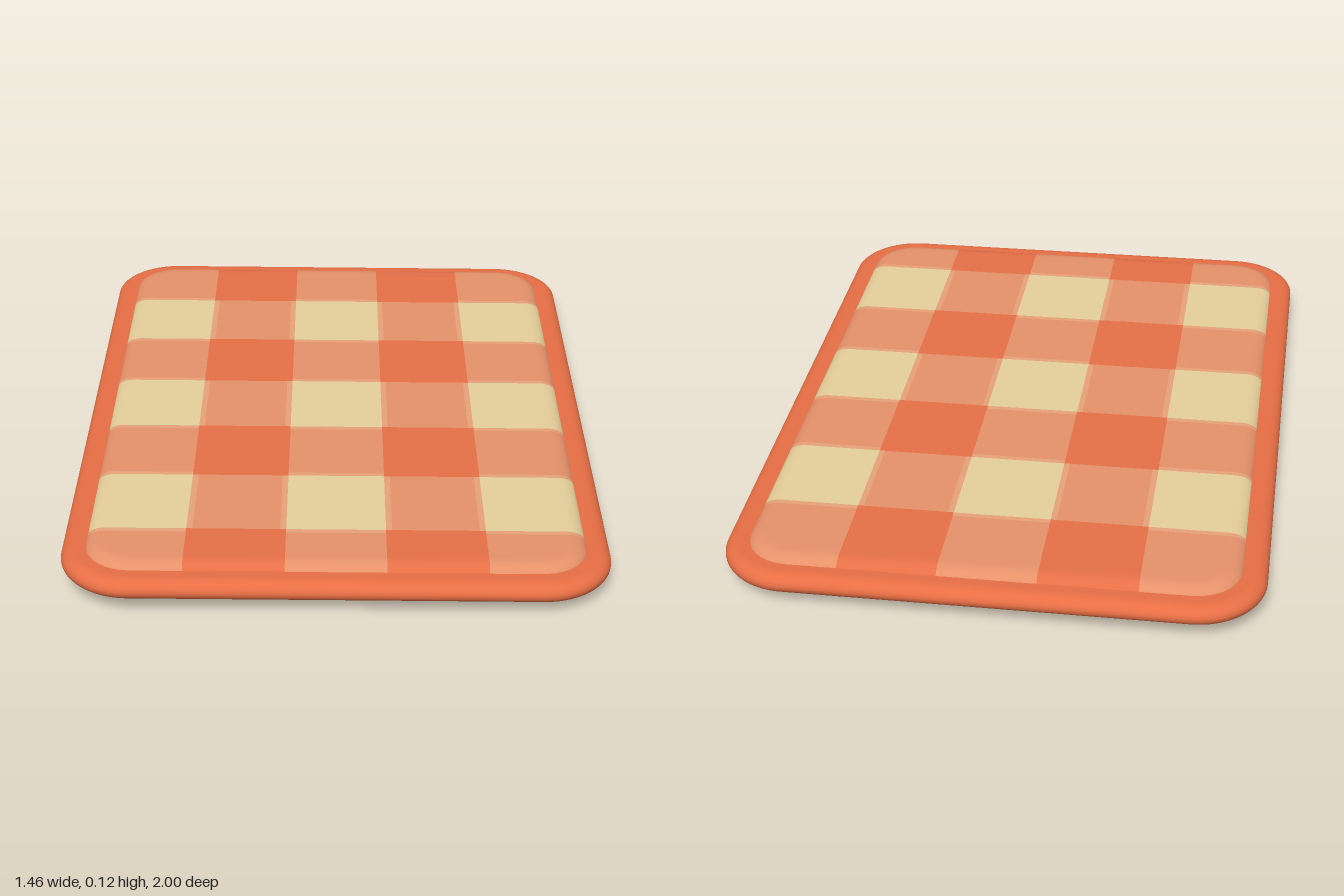
import * as THREE from 'three';
import { mergeVertices } from 'three/addons/utils/BufferGeometryUtils.js';

const paint = (name, color) => {
  const m = new THREE.MeshStandardMaterial({ color });
  m.name = name;
  return m;
};

// half sizes of the cushioned panels, corner radius, edge rounding
const HX = 0.668, HZ = 0.938, R = 0.13, EDGE = 0.05, DROP = 0.03;
// gingham check layout
const X0 = -0.668, CW = 0.267, Z0 = -0.945, CD = 0.283, BAND = 0.016;

// grid lines: dense at the rounded rim, plus both sides of each colour change
function gridLines(half, start, step) {
  const lines = [];
  for (const d of [0, 0.002, 0.007, 0.015, 0.025, 0.037, 0.05, 0.075, 0.1, R]) lines.push(half - d, d - half);
  for (let p = start + step; p < half - R; p += step) {
    for (const o of [-BAND, 0, BAND]) if (Math.abs(p + o) < half - R) lines.push(p + o);
  }
  return lines.sort((a, b) => a - b);
}

// 0 cream, 1 tan edge beside cream, 2 mixed, 3 full stripe
function checkColour(x, z) {
  const u = (x - X0) / CW, v = (z - Z0) / CD;
  const stripeX = Math.floor(u) % 2 === 1, stripeZ = Math.floor(v) % 2 === 0;
  if (stripeX && stripeZ) return 3;
  if (!stripeX && !stripeZ) return 0;
  const t = stripeX ? u : v, size = stripeX ? CW : CD;
  const near = Math.abs(t - Math.round(t)) * size < BAND;
  const outer = !stripeX && (t < 0.5 || t > 6.5); // border with no cream beyond
  return near && !outer ? 1 : 2;
}

// rounded-corner panel with softly falling edges; dir 1 faces up, -1 down
function panel(y, dir, colourAt) {
  const xs = gridLines(HX, X0, CW), zs = gridLines(HZ, Z0, CD);
  const pos = [], buckets = [[], [], [], []];
  for (const z of zs) for (const x of xs) {
    const u = Math.max(0, Math.abs(x) - HX + R), v = Math.max(0, Math.abs(z) - HZ + R);
    const reach = Math.max(u, v);
    const k = reach > 0 ? reach / Math.hypot(u, v) : 1; // square corner to round
    const px = u > 0 ? Math.sign(x) * (HX - R + u * k) : x;
    const pz = v > 0 ? Math.sign(z) * (HZ - R + v * k) : z;
    const e = Math.max(0, 1 - (R - reach) / EDGE);
    const fall = DROP * (1 - Math.sqrt(Math.max(0, 1 - e * e)));
    pos.push(px, y - dir * fall, pz);
  }
  const n = xs.length;
  for (let j = 0; j < zs.length - 1; j++) for (let i = 0; i < n - 1; i++) {
    const a = j * n + i, b = a + 1, c = a + n, d = c + 1;
    const list = buckets[colourAt((xs[i] + xs[i + 1]) / 2, (zs[j] + zs[j + 1]) / 2)];
    if (dir > 0) list.push(a, c, b, b, c, d);
    else list.push(a, b, c, b, d, c);
  }
  const geo = new THREE.BufferGeometry();
  geo.setAttribute('position', new THREE.Float32BufferAttribute(pos, 3));
  geo.setIndex(buckets.flat());
  let start = 0;
  buckets.forEach((list, i) => {
    if (list.length) geo.addGroup(start, list.length, i);
    start += list.length;
  });
  geo.computeVertexNormals();
  return geo;
}

function roundedRect(hx, hz, r) {
  const s = new THREE.Shape();
  s.absarc(hx - r, hz - r, r, 0, Math.PI / 2);
  s.absarc(r - hx, hz - r, r, Math.PI / 2, Math.PI);
  s.absarc(r - hx, r - hz, r, Math.PI, Math.PI * 1.5);
  s.absarc(hx - r, r - hz, r, Math.PI * 1.5, Math.PI * 2);
  s.closePath();
  return s;
}

// border piping: slab with fully rounded edges
function borderGeometry() {
  const side = 0.04, half = 0.029;
  let geo = new THREE.ExtrudeGeometry(roundedRect(0.73 - side, 1 - side, 0.15), {
    depth: 0.002, bevelThickness: half - 0.001, bevelSize: side, bevelSegments: 8, curveSegments: 14,
  });
  geo.translate(0, 0, -0.001);
  geo.rotateX(-Math.PI / 2);
  geo.deleteAttribute('uv');
  geo.deleteAttribute('normal');
  geo.clearGroups();
  geo = mergeVertices(geo, 1e-5);
  geo.computeVertexNormals();
  return geo;
}

export function createModel() {
  const cream = paint('cream', 0xe6cf9b);
  const tan = paint('tan', 0xe7a379);
  const mixed = paint('soft terracotta', 0xe6926a);
  const stripe = paint('terracotta', 0xe67047);
  const piping = paint('border orange', 0xe86f45);

  const group = new THREE.Group();
  group.name = 'checkedMat';
  const mat = new THREE.Group();
  mat.name = 'mat';
  mat.rotation.z = -0.01; // rests very slightly tilted
  group.add(mat);

  const add = (name, geo, material, x = 0, y = 0, z = 0) => {
    const mesh = new THREE.Mesh(geo, material);
    mesh.name = name;
    mesh.position.set(x, y, z);
    mat.add(mesh);
  };

  add('border', borderGeometry(), piping, 0, 0.066, 0);
  add('checkedTop', panel(0.113, 1, checkColour), [cream, tan, mixed, stripe]);
  add('backing', panel(0.0135, -1, () => 0), [tan]);

  // four flat feet
  const foot = new THREE.CylinderGeometry(0.07, 0.07, 0.02, 32);
  for (const sx of [-1, 1]) for (const sz of [-1, 1]) add('foot', foot, tan, sx * 0.49, 0.0156, sz * 0.782);

  return group;
}
